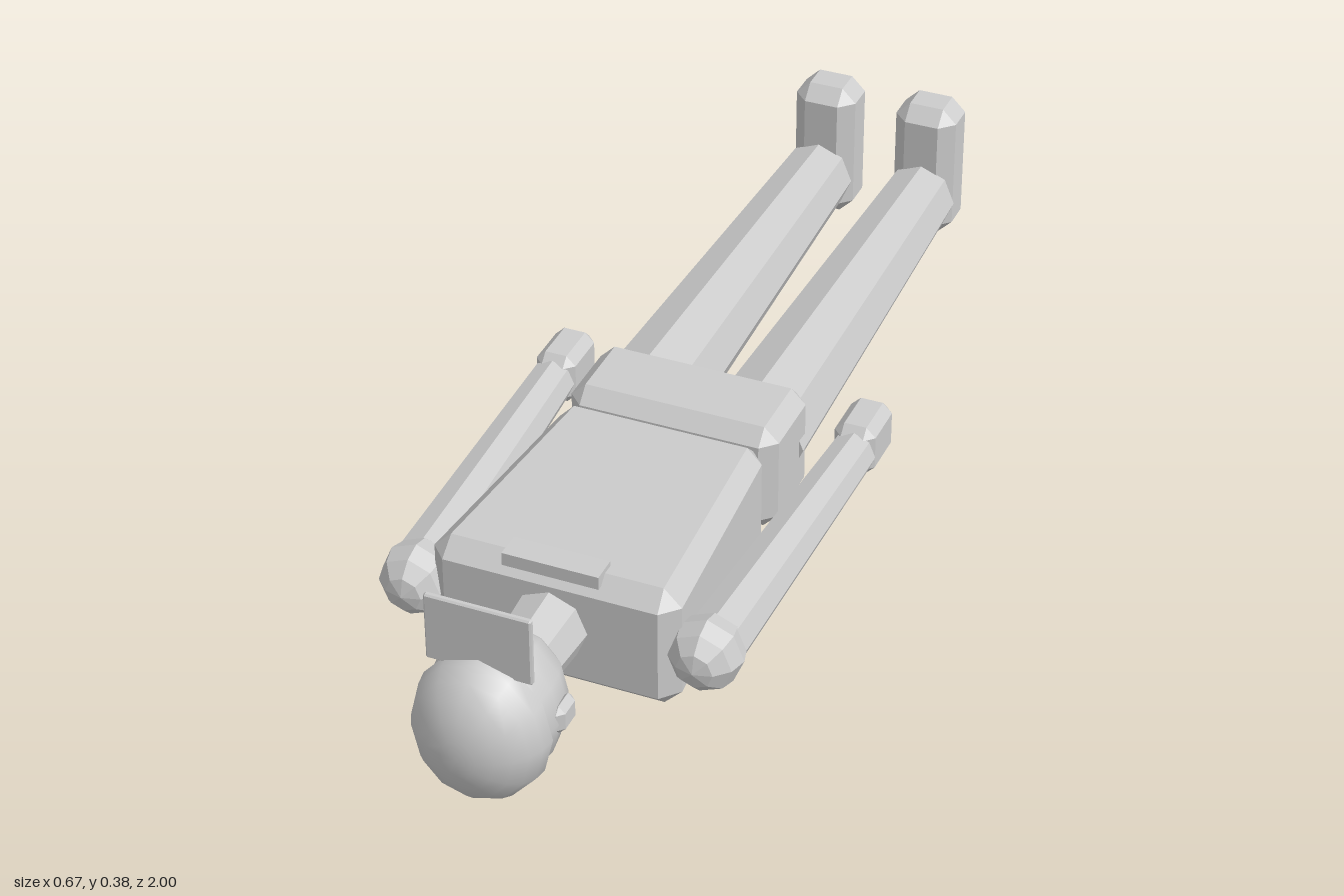
import * as THREE from 'three';
import { ConvexGeometry } from 'three/addons/geometries/ConvexGeometry.js';

export function createModel() {
  const model = new THREE.Group();
  const flat = new THREE.MeshStandardMaterial({ color: 0xcccccc, flatShading: true });
  const smooth = new THREE.MeshStandardMaterial({ color: 0xcccccc });

  function add(name, geometry, x, y, z, material = flat) {
    const mesh = new THREE.Mesh(geometry, material);
    mesh.name = name;
    mesh.position.set(x, y, z);
    model.add(mesh);
    return mesh;
  }

  // Box with chamfered edges; the -z end can be narrowed in x and y
  function chamferBox(w, h, d, c, backX = 1, backY = 1) {
    const points = [];
    for (const sx of [-1, 1]) for (const sy of [-1, 1]) for (const sz of [-1, 1]) {
      for (let axis = 0; axis < 3; axis++) {
        const p = new THREE.Vector3(
          sx * (w / 2 - (axis === 0 ? 0 : c)),
          sy * (h / 2 - (axis === 1 ? 0 : c)),
          sz * (d / 2 - (axis === 2 ? 0 : c)));
        const t = 0.5 - p.z / d;
        p.x *= 1 + (backX - 1) * t;
        p.y *= 1 + (backY - 1) * t;
        points.push(p);
      }
    }
    return new ConvexGeometry(points);
  }

  // Eight-sided tapered limb between two points
  function limb(name, from, to, r0, r1) {
    const a = new THREE.Vector3(...from), b = new THREE.Vector3(...to);
    const geometry = new THREE.CylinderGeometry(r0, r1, a.distanceTo(b), 8);
    geometry.rotateX(Math.PI / 2);
    const mid = a.clone().add(b).multiplyScalar(0.5);
    const mesh = add(name, geometry, mid.x, mid.y, mid.z);
    mesh.lookAt(a);
  }

  // Body lying on its back, head towards +z
  add('torso', chamferBox(0.46, 0.245, 0.505, 0.033, 0.83, 0.87), 0, 0.143, 0.3835);
  add('pelvis', chamferBox(0.4, 0.215, 0.185, 0.028), 0, 0.147, 0.035);
  add('collarPlate', new THREE.BoxGeometry(0.177, 0.025, 0.05), 0, 0.261, 0.605);
  limb('neck', [0, 0.152, 0.76], [0, 0.152, 0.62], 0.062, 0.07);

  // Head and cap share a vertical axis along z
  const skull = new THREE.SphereGeometry(1, 12, 10);
  skull.rotateX(Math.PI / 2).rotateZ(Math.PI / 2).scale(0.118, 0.134, 0.137);
  add('head', skull, 0, 0.143, 0.852, smooth);
  const dome = new THREE.SphereGeometry(1, 12, 6, 0, Math.PI * 2, 0, Math.PI / 2);
  dome.rotateX(Math.PI / 2).rotateZ(Math.PI / 2).scale(0.123, 0.14, 0.107);
  add('cap', dome, 0, 0.14, 0.893, smooth);
  const base = new THREE.CircleGeometry(1, 12);
  base.rotateY(Math.PI).rotateZ(Math.PI / 2).scale(0.123, 0.14, 1);
  add('capUnderside', base, 0, 0.14, 0.893);
  add('capBrim', chamferBox(0.19, 0.13, 0.012, 0.003), 0, 0.318, 0.9);
  add('nose', chamferBox(0.034, 0.05, 0.052, 0.006, 0.75, 1), 0, 0.268, 0.82);

  for (const side of [-1, 1]) {
    const prefix = side > 0 ? 'left' : 'right';
    add(prefix + 'Eye', chamferBox(0.024, 0.03, 0.02, 0.003), side * 0.045, 0.257, 0.862);
    add(prefix + 'Ear', chamferBox(0.025, 0.055, 0.062, 0.012), side * 0.113, 0.146, 0.83);

    // Arm
    const shoulder = new THREE.SphereGeometry(0.067, 8, 6);
    shoulder.rotateX(Math.PI / 2);
    add(prefix + 'Shoulder', shoulder, side * 0.268, 0.145, 0.592);
    limb(prefix + 'Arm', [side * 0.27, 0.145, 0.6], [side * 0.295, 0.152, -0.025], 0.057, 0.042);
    add(prefix + 'Hand', chamferBox(0.078, 0.1, 0.12, 0.018), side * 0.293, 0.153, -0.078);

    // Leg
    limb(prefix + 'Leg', [side * 0.11, 0.147, 0], [side * 0.108, 0.147, -0.892], 0.098, 0.07);
    add(prefix + 'Foot', chamferBox(0.124, 0.28, 0.11, 0.028), side * 0.105, 0.198, -0.945);
  }
  return model;
}
